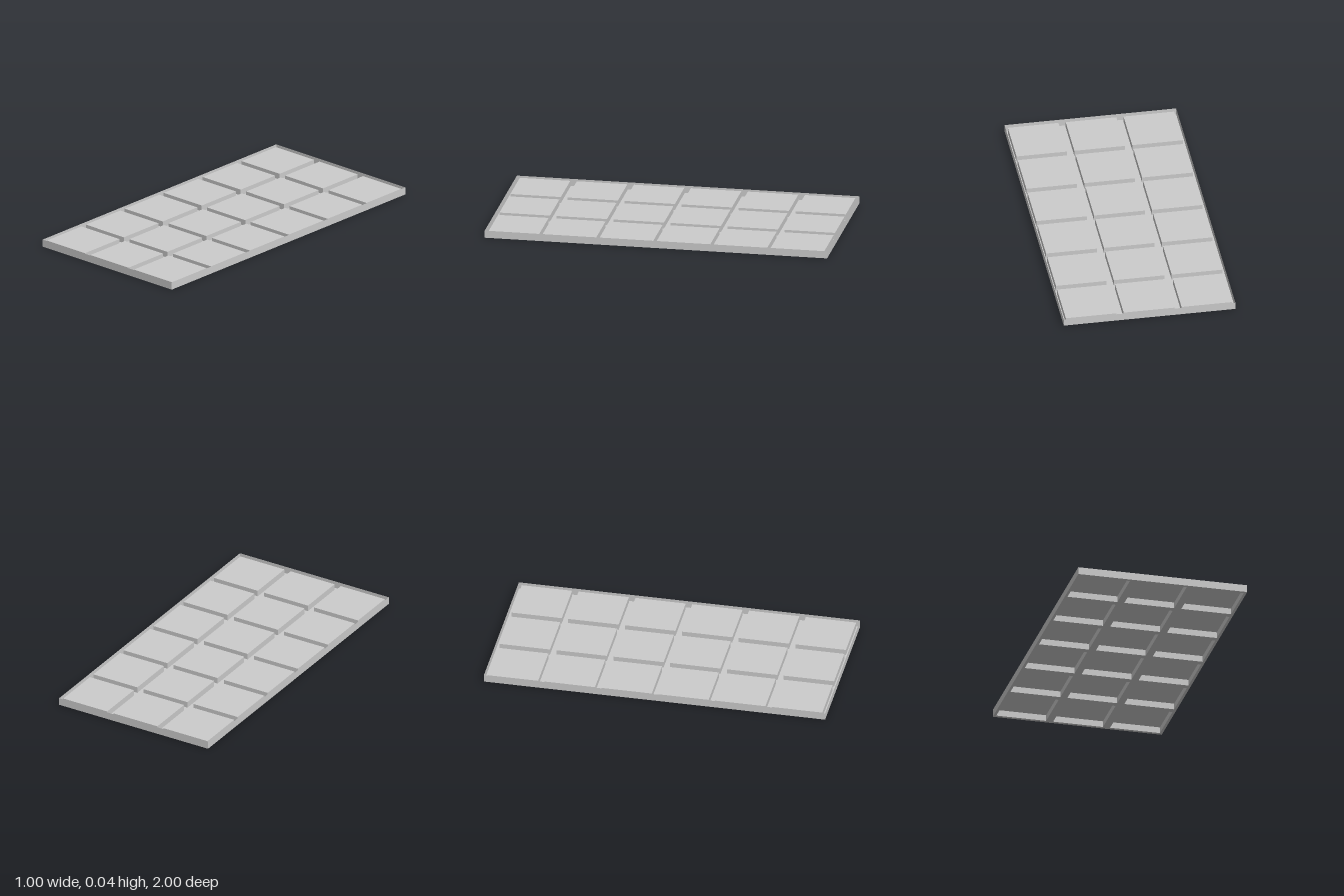
import * as THREE from 'three';

const W = 1, L = 2, RIM = 0.043;      // tray width, length, rim height
const TILE = 0.295, RISE = 0.036;     // raised square panels
const PITCH_X = 0.337, PITCH_Z = 0.333;

const material = new THREE.MeshStandardMaterial({ color: 0xcccccc, side: THREE.DoubleSide, flatShading: true });

// Thin box shell standing on y = 0 without a bottom, and without a top if open
function shell(w, h, d, open) {
  const geo = new THREE.BoxGeometry(w, h, d).translate(0, h / 2, 0);
  const index = Array.from(geo.index.array);
  const faces = open ? [0, 1, 4, 5] : [0, 1, 2, 4, 5];
  geo.setIndex(faces.flatMap((f) => index.slice(f * 6, f * 6 + 6)));
  geo.clearGroups();
  return geo;
}

function rectangle(path, x, y, w, h) {
  path.moveTo(x - w / 2, y - h / 2);
  path.lineTo(x + w / 2, y - h / 2);
  path.lineTo(x + w / 2, y + h / 2);
  path.lineTo(x - w / 2, y + h / 2);
  path.closePath();
  return path;
}

export function createModel() {
  const group = new THREE.Group();
  group.name = 'panelledTray';
  const add = (name, geo, x = 0, z = 0) => {
    const mesh = new THREE.Mesh(geo, material);
    mesh.name = name;
    mesh.position.set(x, 0, z);
    group.add(mesh);
  };

  // Raised panels, hollow underneath, each over an opening in the floor
  const floor = rectangle(new THREE.Shape(), 0, 0, W, L);
  const panel = shell(TILE, RISE, TILE, false);
  for (let row = 0; row < 6; row++) {
    for (let col = 0; col < 3; col++) {
      const x = (col - 1) * PITCH_X, z = (row - 2.5) * PITCH_Z;
      floor.holes.push(rectangle(new THREE.Path(), x, -z, TILE, TILE));
      add('raisedPanel', panel, x, z);
    }
  }

  // Floor lattice between the panels
  add('floorLattice', new THREE.ShapeGeometry(floor).rotateX(-Math.PI / 2));

  // Thin outer rim
  add('outerRim', shell(W, RIM, L, true));
  return group;
}
